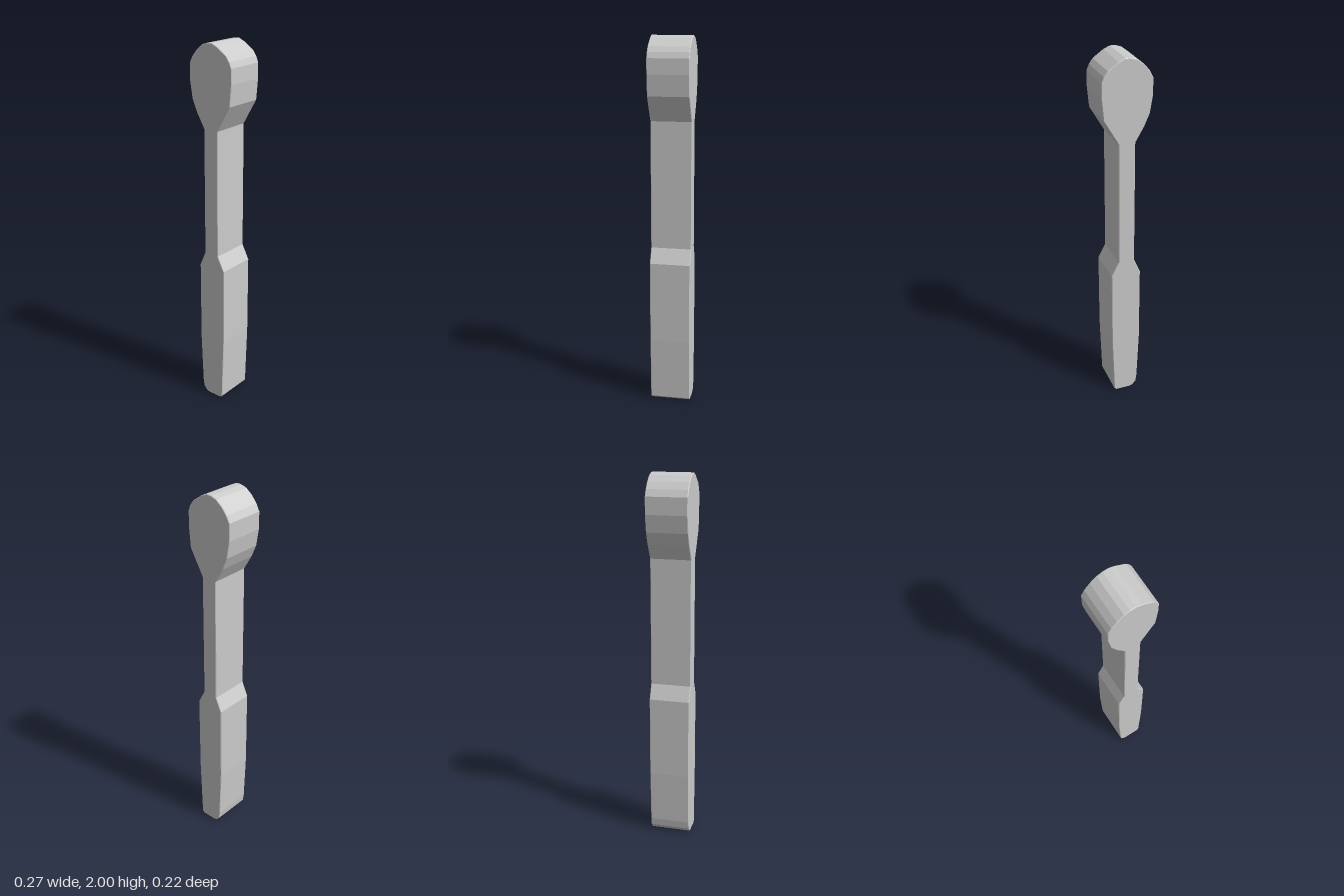
import * as THREE from 'three';

const DEPTH = 0.22;
const BEVEL = 0.003;

// Outline sections, each running counter-clockwise
const handleBase = [
  [-0.078, 0.80], [-0.078, 0.36], [-0.066, 0.07], [-0.06, 0.03], [-0.04, 0.005],
  [-0.02, 0], [0.06, 0], [0.073, 0.012], [0.085, 0.36], [0.086, 0.80],
];
const shaftRight = [[0.045, 0.88], [0.045, 1.565]];
const headOutline = [
  [0.123, 1.70], [0.133, 1.81], [0.132, 1.89], [0.12, 1.92], [0.1, 1.947],
  [0.045, 1.985], [0.01, 2], [-0.02, 1.998], [-0.05, 1.988], [-0.086, 1.96],
  [-0.115, 1.925], [-0.133, 1.89], [-0.133, 1.80], [-0.118, 1.71], [-0.09, 1.645],
];
const shaftLeft = [[-0.043, 1.565], [-0.043, 0.88]];

export function createModel() {
  const group = new THREE.Group();
  group.name = 'ratchetWrench';

  // One continuous body: tapered handle, narrow shaft and rounded head
  const outline = [...handleBase, ...shaftRight, ...headOutline, ...shaftLeft];
  const shape = new THREE.Shape(outline.map(([x, y]) => new THREE.Vector2(x, y)));

  // A fine bevel softens the front and back rims
  const geometry = new THREE.ExtrudeGeometry(shape, {
    depth: DEPTH - 2 * BEVEL,
    bevelEnabled: true,
    bevelThickness: BEVEL,
    bevelSize: BEVEL,
    bevelOffset: -BEVEL,
    bevelSegments: 1,
  });
  geometry.translate(0, 0, -DEPTH / 2 + BEVEL);

  const body = new THREE.Mesh(
    geometry,
    new THREE.MeshStandardMaterial({ color: 0xcccccc, flatShading: true }),
  );
  body.name = 'wrenchBody';
  group.add(body);
  return group;
}
